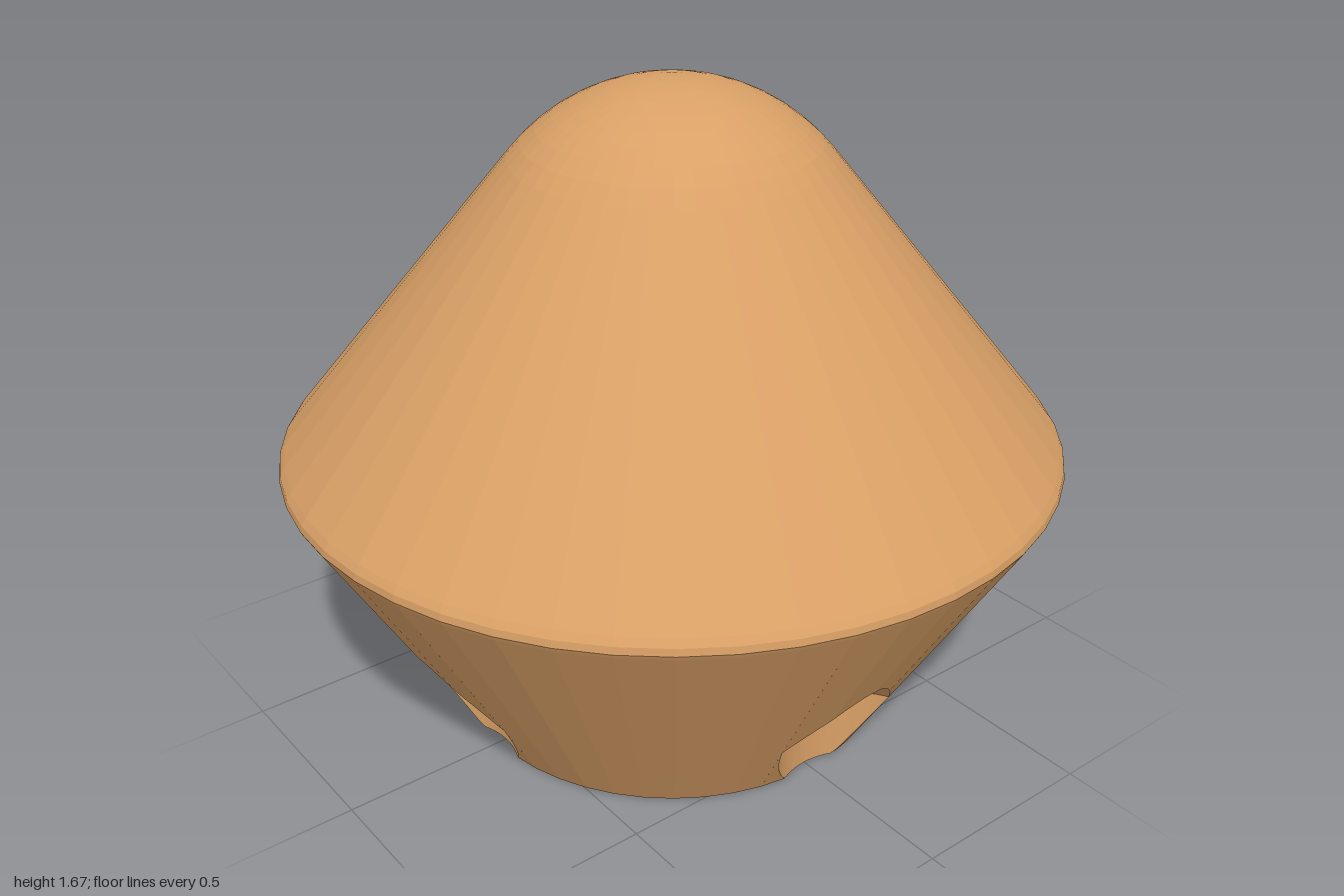
import * as THREE from 'three';

const SIDES = 48, STEP = (Math.PI * 2) / SIDES;
const BASE_R = 0.574, SLOPE = 0.587, RIM_Y = 0.715;   // lower cone
const R = 0.2, DEPTH = 0.187, AXIS = 0.75;            // drilled pockets: 45 degree tip

// faceted lower cone: radius at angle a and height y
const facet = (a) => {
  const m = ((a % STEP) + STEP) % STEP;
  return Math.cos(STEP / 2) / Math.cos(m - STEP / 2);
};
const hull = (a, y) => (BASE_R + SLOPE * y) * facet(a);
const onHull = (a, y) => new THREE.Vector3(hull(a, y) * Math.sin(a), y, hull(a, y) * Math.cos(a));
const angle = (p) => Math.atan2(p.x, p.z);
const radius = (p) => Math.hypot(p.x, p.z);
const range = (a, b, n) => Array.from({ length: n + 1 }, (_, i) => a + ((b - a) * i) / n);

// point of a pocket: phi around its axis, d from its axis
const pocketPoint = (phi, d, y) => new THREE.Vector3(d * Math.sin(phi), y, AXIS - d * Math.cos(phi));
// pocket angle at which its wall leaves the cone of radius r
const exitPhi = (r) => Math.acos((AXIS * AXIS + R * R - r * r) / (2 * AXIS * R));
const PHI_BASE = exitPhi(BASE_R);
const PHI_MAX = exitPhi(BASE_R + SLOPE * DEPTH);

// lower edge of the pocket wall
function wallFoot(phi) {
  const p = pocketPoint(phi, R, 0);
  p.y = Math.max(0, (radius(p) / facet(angle(p)) - BASE_R) / SLOPE);
  if (Math.abs(phi) < PHI_BASE) p.y = 0;
  p.y = Math.min(p.y, DEPTH);
  return p;
}

// outer edge of the conical pocket ceiling
function ceilingEdge(phi) {
  const at = (d) => pocketPoint(phi, d, DEPTH + R - d);
  if (Math.abs(phi) <= PHI_MAX) return at(R);
  let lo = 0, hi = R;
  for (let i = 0; i < 30; i++) {
    const d = (lo + hi) / 2, p = at(d);
    if (radius(p) <= hull(angle(p), p.y)) lo = d; else hi = d;
  }
  return at(lo);
}

// flat-shaded strips between pairs of lower and upper point rows
function stripGeometry(pairs) {
  const pos = [], tri = new THREE.Triangle();
  const add = (a, b, c) => {
    tri.set(a, b, c);
    if (tri.getArea() > 1e-9) for (const p of [a, b, c]) pos.push(p.x, p.y, p.z);
  };
  for (const [lower, upper] of pairs) {
    for (let i = 0; i < lower.length - 1; i++) {
      add(lower[i], lower[i + 1], upper[i + 1]);
      add(lower[i], upper[i + 1], upper[i]);
    }
  }
  const g = new THREE.BufferGeometry();
  g.setAttribute('position', new THREE.Float32BufferAttribute(pos, 3));
  g.computeVertexNormals();
  return g;
}

function flatLathe(points) {
  const g = new THREE.LatheGeometry(points.map(([x, y]) => new THREE.Vector2(x, y)), SIDES).toNonIndexed();
  g.computeVertexNormals();
  return g;
}

export function createModel() {
  const group = new THREE.Group();
  const wood = new THREE.MeshStandardMaterial({ color: 0xd9a066 });
  wood.name = 'warm wood';
  const add = (name, geometry, turn = 0) => {
    const mesh = new THREE.Mesh(geometry, wood);
    mesh.name = name;
    mesh.rotation.y = turn;
    group.add(mesh);
  };

  // rounded rim, upper cone and dome
  const tangent = 0.883, domeR = 0.517, domeY = 1.667 - domeR;
  const dome = range(tangent, 0, 9).map((t) => [domeR * Math.sin(t), domeY + domeR * Math.cos(t)]);
  add('upperBody', flatLathe([[BASE_R + SLOPE * RIM_Y, RIM_Y], [1, 0.727], [0.997, 0.745], [0.985, 0.763], ...dome]));

  // one quarter of the lower cone, cut around a pocket
  const topEdge = [
    ...range(-Math.PI, -PHI_MAX, 30).reverse().map(ceilingEdge).reverse(),
  ];
  const rightEdge = range(PHI_MAX, Math.PI, 30).map(ceilingEdge).reverse();
  const leftEdge = topEdge.reverse();
  const above = [...leftEdge.reverse(), ...rightEdge].sort((a, b) => angle(a) - angle(b));
  const belowRight = range(PHI_BASE, PHI_MAX, 10).map(wallFoot);
  const belowLeft = range(-PHI_MAX, -PHI_BASE, 10).map(wallFoot);
  const edgeAngle = angle(above[above.length - 1]);
  const plain = [edgeAngle];
  for (let k = 0; k < SIDES / 4; k++) {
    if (k * STEP > edgeAngle + 0.01 && k * STEP < Math.PI / 2 - edgeAngle - 0.01) plain.push(k * STEP);
  }
  plain.push(Math.PI / 2 - edgeAngle);
  const foot = (row) => row.map((p) => onHull(angle(p), 0));
  const wall = stripGeometry([
    [above, above.map((p) => onHull(angle(p), RIM_Y))],
    [foot(belowRight), belowRight],
    [foot(belowLeft), belowLeft],
    [plain.map((a) => onHull(a, 0)), plain.map((a) => onHull(a, RIM_Y))],
  ]);

  // pocket: upright wall and conical ceiling
  const wallPhi = range(-PHI_MAX, PHI_MAX, 28);
  const ceilPhi = [...range(-Math.PI, -PHI_MAX, 30), ...wallPhi.slice(1), ...range(PHI_MAX, Math.PI, 30).slice(1)];
  const pocket = stripGeometry([
    [wallPhi.map(wallFoot), wallPhi.map((p) => pocketPoint(p, R, DEPTH))],
    [ceilPhi.map(ceilingEdge), ceilPhi.map(() => pocketPoint(0, 0, DEPTH + R))],
  ]);

  // base outline with a notch at each pocket
  const notch = range(-PHI_BASE, PHI_BASE, 12).map((p) => pocketPoint(p, R, 0));
  const notchAngle = angle(notch[12]);
  const quarter = [...notch];
  for (let k = 0; k < SIDES / 4; k++) {
    if (k * STEP > notchAngle + 0.005 && k * STEP < Math.PI / 2 - notchAngle - 0.005) quarter.push(onHull(k * STEP, 0));
  }
  const outline = [];
  const up = new THREE.Vector3(0, 1, 0);
  for (let q = 0; q < 4; q++) {
    const turn = (q * Math.PI) / 2;
    add('lowerWall', wall, turn);
    add('pocket', pocket, turn);
    for (const p of quarter) {
      const v = p.clone().applyAxisAngle(up, turn);
      outline.push(new THREE.Vector2(v.x, v.z));
    }
  }
  const base = new THREE.Shape(outline);
  base.holes.push(new THREE.Path(range(0, SIDES - 1, SIDES - 1).map(
    (k) => new THREE.Vector2(R * Math.sin(k * STEP), R * Math.cos(k * STEP)))));
  add('base', new THREE.ShapeGeometry(base).rotateX(Math.PI / 2));

  // central hole with a conical end
  add('centreHole', flatLathe([[0, DEPTH + R], [R, DEPTH], [R, 0]]));
  return group;
}
